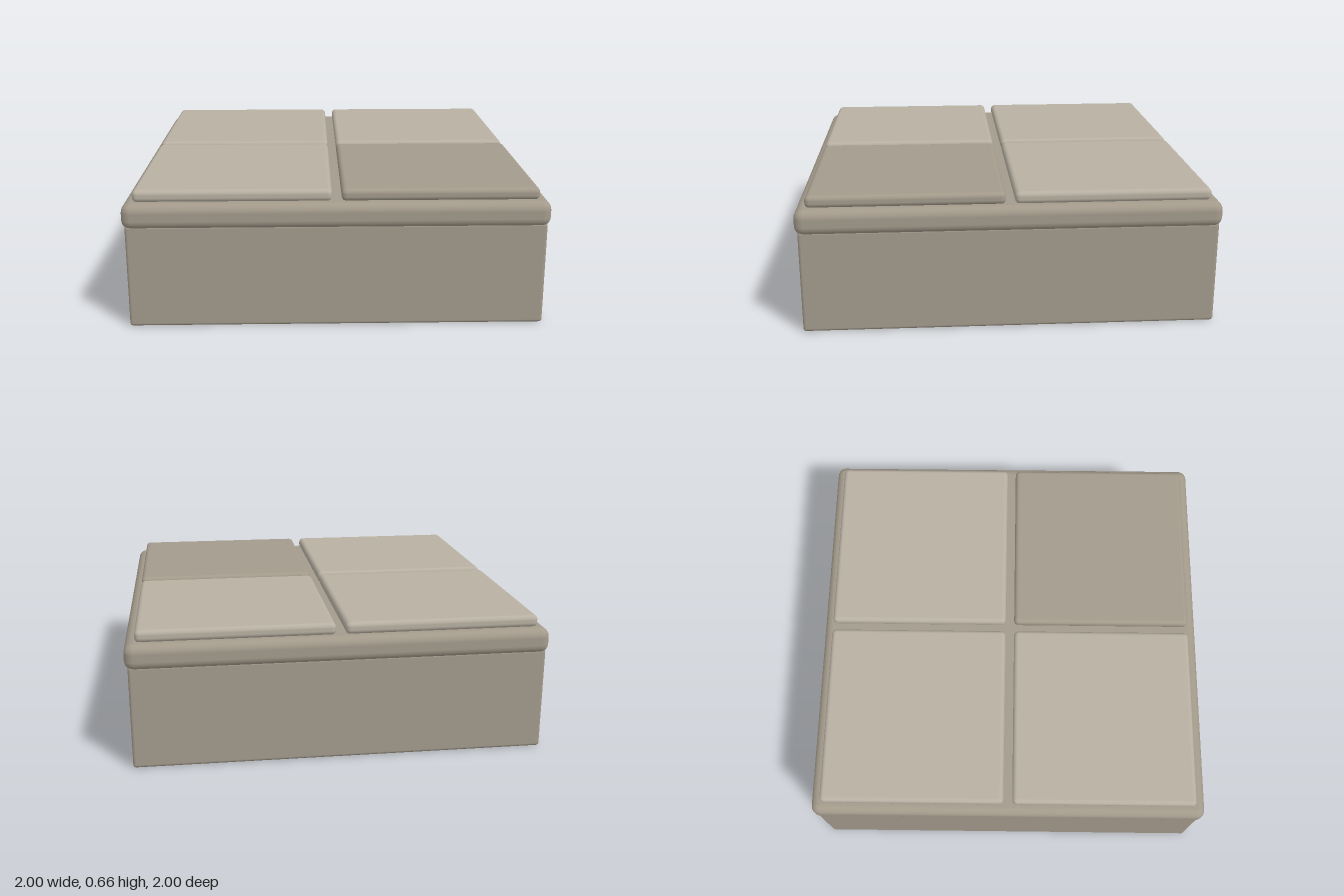
import * as THREE from 'three';
import { RoundedBoxGeometry } from 'three/addons/geometries/RoundedBoxGeometry.js';

export function createModel() {
  const model = new THREE.Group();
  model.name = 'pavingBlock';
  const stone = new THREE.MeshStandardMaterial({ color: 0xa39a8b });
  const paleStone = new THREE.MeshStandardMaterial({ color: 0xb8b0a2 });

  // Square rounded slab between two heights
  function slab(name, size, y0, y1, radius, material, x = 0, z = 0) {
    const geometry = new RoundedBoxGeometry(size, y1 - y0, size, 3, radius);
    const mesh = new THREE.Mesh(geometry, material);
    mesh.name = name;
    mesh.position.set(x, (y0 + y1) / 2, z);
    model.add(mesh);
  }

  // Plinth and the bulging rim that caps it
  slab('base', 1.97, 0, 0.5, 0.015, stone);
  slab('rim', 2, 0.48, 0.605, 0.045, stone);

  // Four tiles on top, the front one at +x in the darker stone
  for (const sx of [-1, 1]) {
    for (const sz of [-1, 1]) {
      const material = sx > 0 && sz > 0 ? stone : paleStone;
      slab('tile', 0.928, 0.6, 0.66, 0.024, material, sx * 0.486, sz * 0.486);
    }
  }
  return model;
}
